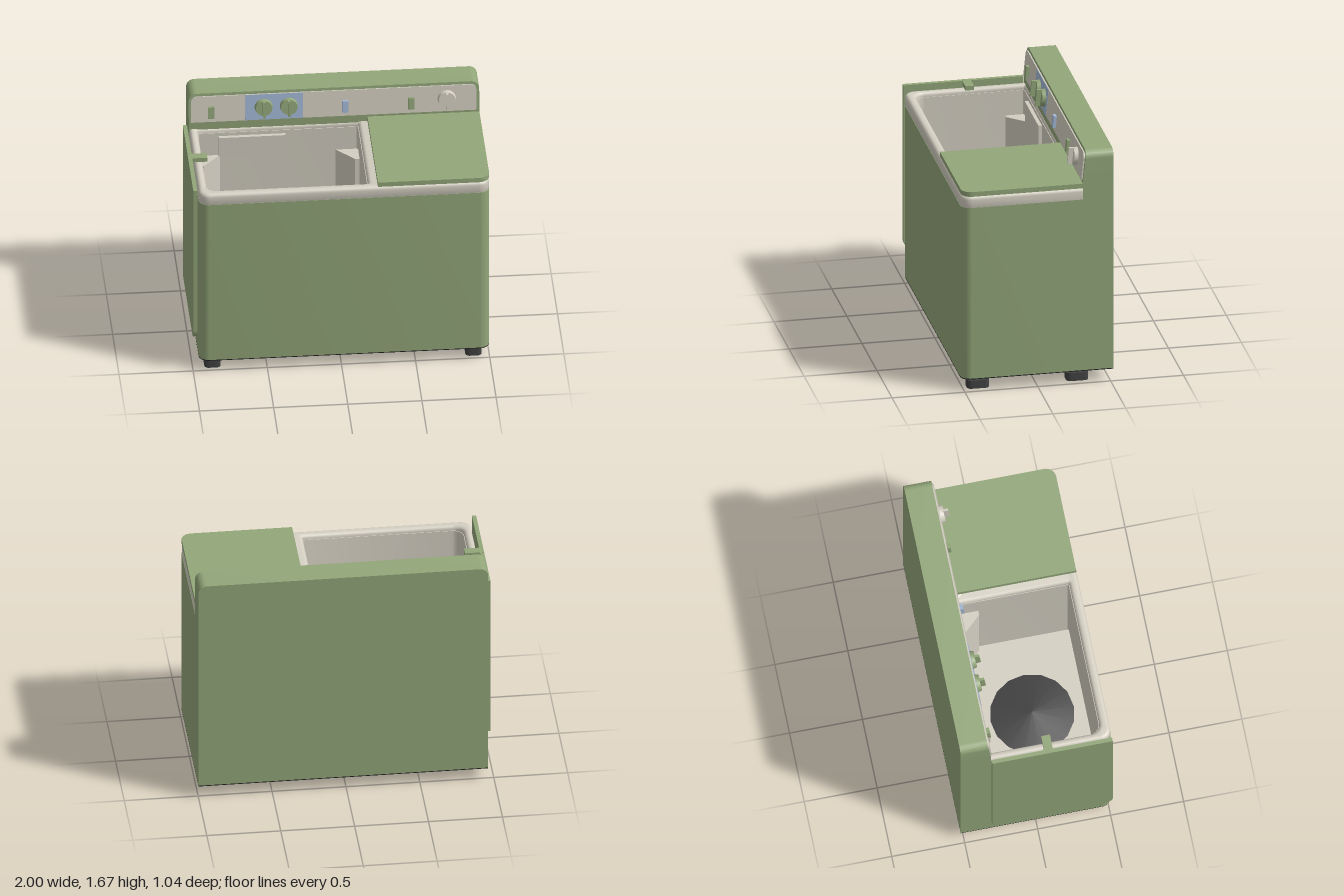
import * as THREE from 'three';
import { toCreasedNormals } from 'three/addons/utils/BufferGeometryUtils.js';
import { RoundedBoxGeometry } from 'three/addons/geometries/RoundedBoxGeometry.js';

const mat = (name, color) => {
  const m = new THREE.MeshStandardMaterial({ color });
  m.name = name;
  return m;
};

// Rectangle with one radius per corner: lower left, lower right, upper right, upper left
function roundRect(x0, y0, x1, y1, [bl, br, tr, tl]) {
  const s = new THREE.Shape();
  s.moveTo(x0 + bl, y0);
  s.lineTo(x1 - br, y0);
  if (br) s.absarc(x1 - br, y0 + br, br, -Math.PI / 2, 0);
  s.lineTo(x1, y1 - tr);
  if (tr) s.absarc(x1 - tr, y1 - tr, tr, 0, Math.PI / 2);
  s.lineTo(x0 + tl, y1);
  if (tl) s.absarc(x0 + tl, y1 - tl, tl, Math.PI / 2, Math.PI);
  s.lineTo(x0, y0 + bl);
  if (bl) s.absarc(x0 + bl, y0 + bl, bl, Math.PI, Math.PI * 1.5);
  return s;
}

const extrude = (shape, depth, opts = {}) => toCreasedNormals(
  new THREE.ExtrudeGeometry(shape, { depth, bevelEnabled: false, curveSegments: 8, ...opts }), 0.6);

// Plan shapes use (x, -z) and are raised from y0 to y1
const raise = (shape, y0, y1, opts) =>
  extrude(shape, y1 - y0, opts).rotateX(-Math.PI / 2).translate(0, y0, 0);

const withHole = (shape, hole) => {
  shape.holes.push(hole);
  return shape;
};

export function createModel() {
  const green = mat('greenEnamel', 0x92a679);
  const cream = mat('creamPlastic', 0xd3cec1);
  const blue = mat('bluePanel', 0xa3b8d4);
  const rubber = mat('darkRubber', 0x424243);
  const black = mat('blackBase', 0x212121);

  const model = new THREE.Group();
  const add = (name, geometry, material, parent = model) => {
    const m = new THREE.Mesh(geometry, material);
    m.name = name;
    parent.add(m);
    return m;
  };
  const box = (name, material, x0, x1, y0, y1, z0, z1, parent) =>
    add(name, new THREE.BoxGeometry(x1 - x0, y1 - y0, z1 - z0), material, parent)
      .position.set((x0 + x1) / 2, (y0 + y1) / 2, (z0 + z1) / 2);

  // Cabinet with an open tub well
  const plan = () => roundRect(-0.96, -0.52, 1, 0.52, [0.07, 0.07, 0, 0]);
  const well = (e) => roundRect(-0.9 - e, -0.45 - e, 0.18 + e, 0.3 + e, [0.07, 0.01, 0.01, 0.01]);
  add('cabinet', raise(withHole(plan(), well(0.01)), 0.094, 1.33), green);
  add('basePlate', raise(plan(), 0.088, 0.094), black);

  // Cream rim and deck with softened edges
  const rim = withHole(roundRect(-0.958, -0.518, 0.998, 0.4, [0.07, 0.07, 0, 0]), well(0.004));
  add('deckRim', raise(rim, 1.325, 1.385, {
    bevelEnabled: true, bevelThickness: 0.025, bevelSize: 0.025, bevelOffset: -0.025, bevelSegments: 4,
  }), cream);

  // Wash tub
  const tub = new THREE.Group();
  tub.name = 'washTub';
  model.add(tub);
  add('tubWalls', raise(withHole(well(0.01), well(0)), 0.48, 1.375), cream, tub);
  add('tubFloor', raise(well(0), 0.48, 0.5), cream, tub);
  for (const side of [-1, 1]) {
    const pts = [[0.54, 0.3], [0.54, 0.17], [0.51, 0.17], [0.39, 0.3]];
    const wedge = new THREE.Shape(pts.map(([x, y]) => new THREE.Vector2(-0.36 + side * x, y)));
    add('tubCornerPost', raise(wedge, 0.5, 1.2), cream, tub);
  }
  box('filterPanel', cream, -0.76, -0.31, 1.2, 1.35, -0.3, -0.275, tub);
  const agitator = new THREE.ConeGeometry(0.285, 0.05, 16);
  add('agitator', toCreasedNormals(agitator, 0.1), rubber, tub).position.set(-0.365, 0.525, 0.09);

  // Closed lid on the left and open lid hanging on the right
  add('spinnerLid', raise(roundRect(0.245, -0.515, 1, 0.32, [0, 0.07, 0, 0]), 1.411, 1.445), green);
  const hanging = extrude(roundRect(-0.515, 0.25, 0.31, 1.445, [0.08, 0, 0, 0]), 0.028);
  add('hangingLid', hanging.rotateY(Math.PI / 2).translate(-1, 0, 0), green);
  box('lidHook', green, -0.999, -0.87, 1.415, 1.446, 0.05, 0.11);

  // Rear console, its front face leaning back
  box('consoleBase', green, -0.96, 1, 1.33, 1.46, -0.52, -0.311);
  const consoleGeo = new THREE.ExtrudeGeometry(
    roundRect(-0.96, 1.46, 1, 1.675, [0, 0, 0.055, 0.055]),
    { depth: 0.209, bevelEnabled: false, curveSegments: 8 }).translate(0, 0, -0.52);
  const p = consoleGeo.attributes.position;
  for (let i = 0; i < p.count; i++) {
    if (p.getZ(i) > -0.4) p.setZ(i, -0.311 - (p.getY(i) - 1.46) * 0.1);
  }
  consoleGeo.computeVertexNormals();
  add('console', toCreasedNormals(consoleGeo, 0.6), green);

  // Control panel, local y measured up the slope
  const panel = new THREE.Group();
  panel.name = 'controlPanel';
  panel.position.set(0, 1.46, -0.311);
  panel.rotation.x = -Math.atan(0.1);
  model.add(panel);
  add('panelFace', extrude(roundRect(-0.945, 0.004, 0.98, 0.196, [0, 0, 0.04, 0.04]), 0.009), cream, panel);
  box('bluePlate', blue, -0.58, -0.19, 0.005, 0.195, 0.008, 0.011, panel);

  for (const [x, m] of [[-0.455, green], [-0.285, green], [0.78, cream]]) {
    const knob = new THREE.Group();
    knob.name = 'knob';
    knob.position.set(x, 0.1, 0.009);
    panel.add(knob);
    const dial = new THREE.CylinderGeometry(0.056, 0.062, 0.028, 28).rotateX(Math.PI / 2);
    add('knobDial', dial, m, knob).position.z = 0.014;
    box('knobGrip', m, -0.009, 0.009, -0.057, 0.057, 0.02, 0.06, knob);
  }
  for (const [x, m] of [[-0.81, green], [0.095, blue], [0.54, green]]) {
    box('rockerSwitch', m, x - 0.021, x + 0.021, 0.037, 0.122, 0.005, 0.03, panel);
  }

  // Feet
  for (const x of [-0.865, 0.895]) {
    for (const z of [0.395, -0.285]) {
      const foot = raise(roundRect(-0.055, -0.075, 0.055, 0.075, [0.03, 0.03, 0.03, 0.03]), 0, 0.058);
      add('foot', foot, rubber).position.set(x, 0, z);
    }
  }
  return model;
}
